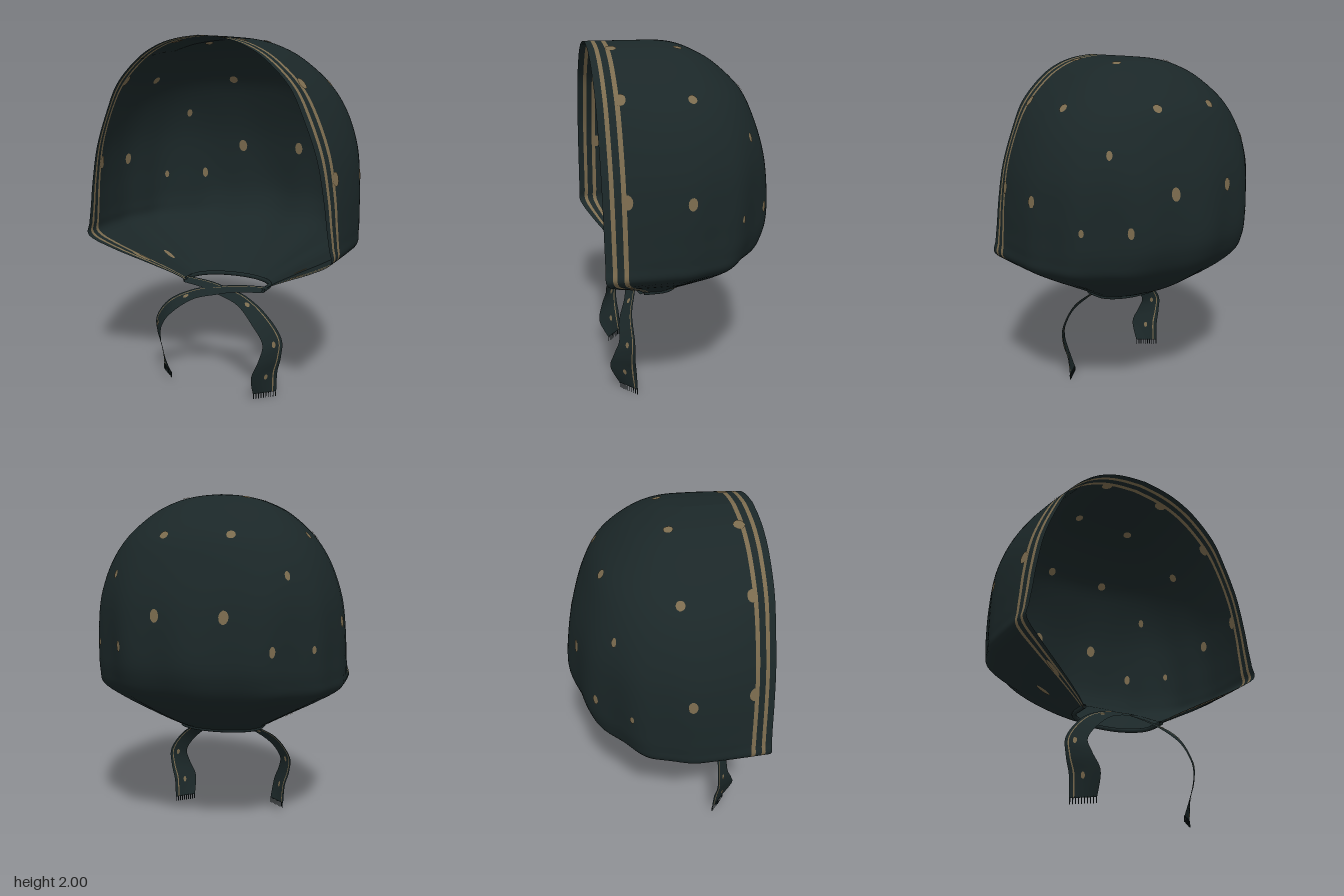
import * as THREE from 'three';

const cloth = new THREE.MeshStandardMaterial({ color: 0x1b2728, side: THREE.DoubleSide });
cloth.name = 'dark teal cloth';
const trim = new THREE.MeshStandardMaterial({ color: 0x7b6b4e, side: THREE.DoubleSide });
trim.name = 'tan trim';

// Hood levels from crown to neck: y, rim half width, rim z, widest half width, back z
const levels = [
  [2.0, 0, 0.51, 0, 0.14], [1.985, 0.13, 0.51, 0.15, 0.02], [1.95, 0.25, 0.51, 0.28, -0.08],
  [1.88, 0.37, 0.51, 0.41, -0.2], [1.75, 0.5, 0.51, 0.555, -0.335], [1.6, 0.575, 0.51, 0.655, -0.41],
  [1.4, 0.65, 0.51, 0.725, -0.475], [1.2, 0.69, 0.51, 0.75, -0.505], [1.05, 0.71, 0.51, 0.755, -0.51],
  [0.95, 0.725, 0.51, 0.755, -0.485], [0.87, 0.732, 0.507, 0.742, -0.44], [0.79, 0.61, 0.445, 0.62, -0.36],
  [0.7, 0.435, 0.35, 0.45, -0.23], [0.63, 0.305, 0.275, 0.32, -0.1], [0.59, 0.25, 0.24, 0.25, 0]];
const last = levels.length - 1;
const zWide = 0.15;
const { smoothstep, clamp } = THREE.MathUtils;
// exponent of the back curve: 1 is an ellipse, less is fuller towards the crown
const roundness = (v) => 0.86 + 0.13 * smoothstep(v, 5, 8);

// Smooth interpolation through rows of numbers
function sample(rows, v) {
  const i = Math.min(Math.floor(v), rows.length - 2), t = v - i;
  const at = (n) => rows[clamp(n, 0, rows.length - 1)];
  return rows[0].map((_, k) => {
    const [a, b, c, d] = [at(i - 1)[k], at(i)[k], at(i + 1)[k], at(i + 2)[k]];
    return b + 0.5 * t * (c - a + t * (2 * a - 5 * b + 4 * c - d + t * (3 * (b - c) + d - a)));
  });
}

// Hood surface: u runs from the left rim (0) round the back (2) to the right rim (4)
function hoodPoint(u, v) {
  const [y, rimX, rimZ, wide, back] = sample(levels, v);
  const q = u > 2 ? 4 - u : u, side = u > 2 ? -1 : 1;
  if (q <= 1) {
    const x = rimX + (wide - rimX) * Math.sin(q * Math.PI / 2);
    return new THREE.Vector3(side * x, y, rimZ + (zWide - rimZ) * q);
  }
  // gathers that fade out towards the crown and the neck
  const a = (q - 1) * Math.PI / 2;
  const depth = 0.016 * smoothstep(v, 4.5, 8) * (1 - smoothstep(v, 12.5, 14)) * Math.min(1, a * 2);
  const s = 1 + depth * Math.cos(12 * a);
  const across = Math.max(0, Math.cos(a)) ** roundness(v), along = Math.sin(a) ** roundness(v);
  return new THREE.Vector3(side * wide * across * s, y, zWide + (back - zWide) * along * s);
}

// Grid surface whose columns may be trim coloured
function gridMesh(name, point, us, vs, isTrim) {
  const pos = [], plain = [], striped = [], n = us.length;
  for (const v of vs) for (const u of us) pos.push(...point(u, v).toArray());
  for (let j = 0; j < vs.length - 1; j++) {
    for (let i = 0; i < n - 1; i++) {
      const a = j * n + i, b = a + 1, c = a + n, d = c + 1;
      (isTrim((us[i] + us[i + 1]) / 2) ? striped : plain).push(a, c, b, b, c, d);
    }
  }
  const geo = new THREE.BufferGeometry();
  geo.setAttribute('position', new THREE.Float32BufferAttribute(pos, 3));
  geo.setIndex([...plain, ...striped]);
  geo.addGroup(0, plain.length, 0);
  geo.addGroup(plain.length, striped.length, 1);
  geo.computeVertexNormals();
  const mesh = new THREE.Mesh(geo, [cloth, trim]);
  mesh.name = name;
  return mesh;
}

const steps = (a, b, n) => Array.from({ length: n + 1 }, (_, i) => a + (b - a) * i / n);

// Thin oval on both faces of a surface
function addDot(group, name, point, u, v, rx, ry) {
  const e = 0.02, p = point(u, v);
  const dv = point(u, v + e).sub(point(u, v - e)).normalize();
  const n = dv.clone().cross(point(u + e, v).sub(point(u - e, v))).normalize();
  const across = dv.clone().cross(n);
  for (const off of [0.004, -0.004]) {
    const geo = new THREE.CircleGeometry(1, 14).scale(rx, ry, 1);
    geo.applyMatrix4(new THREE.Matrix4().makeBasis(across, dv, n).setPosition(p.clone().addScaledVector(n, off)));
    const dot = new THREE.Mesh(geo, trim);
    dot.name = name;
    group.add(dot);
  }
}

function makeHood() {
  const hood = new THREE.Group();
  hood.name = 'hood';
  // columns fall on the edges of the two rim stripes
  const stripes = [[0.1, 0.16], [0.255, 0.32]];
  const half = [0, ...stripes.flat(), 0.5, 0.75, ...steps(1, 2, 40)];
  const us = [...half, ...half.slice(0, -1).reverse().map((q) => 4 - q)];
  const onStripe = (u) => stripes.some(([a, b]) => Math.min(u, 4 - u) > a && Math.min(u, 4 - u) < b);
  hood.add(gridMesh('hoodShell', hoodPoint, us, steps(0, last, last * 5), onStripe));

  // spots: level, z, half width, half height
  const spots = [
    [1.55, 0.03, 0.026, 0.024], [4, 0.03, 0.024, 0.026], [4, -0.317, 0.026, 0.026],
    [5.35, -0.292, 0.016, 0.026], [6.4, -0.474, 0.027, 0.038], [6.65, 0.07, 0.025, 0.034],
    [7.4, -0.393, 0.018, 0.032], [7.4, -0.222, 0.014, 0.022], [1.42, 0.39, 0.03, 0.034],
    [3.95, 0.39, 0.028, 0.034], [6.55, 0.39, 0.028, 0.038], [12.1, 0.11, 0.016, 0.045],
    [11.7, 0.33, 0.014, 0.06]];
  for (const [v, z, rx, ry] of spots) {
    const [, , rimZ, , back] = sample(levels, v);
    const u = z > zWide ? (rimZ - z) / (rimZ - zWide)
      : 1 + Math.asin(clamp((zWide - z) / (zWide - back), 0, 1) ** (1 / roundness(v))) * 2 / Math.PI;
    for (const side of [u, 4 - u]) addDot(hood, 'spot', hoodPoint, side, v, rx, ry);
  }

  // gathered neck edge
  const neck = new THREE.CatmullRomCurve3(steps(0, 4, 24).map((u) => hoodPoint(u, last)));
  const band = new THREE.Mesh(new THREE.TubeGeometry(neck, 60, 0.013, 8), cloth);
  band.name = 'neckBand';
  hood.add(band);
  return hood;
}

// Ribbon rows: centre x, y, z, then half-width vector x, y, z
const ribbonRows = [
  [-0.25, 0.595, 0.235, 0, 0.012, -0.025], [-0.1, 0.59, 0.26, 0, 0.014, -0.03],
  [0, 0.575, 0.28, 0.002, 0.017, -0.032], [0.15, 0.54, 0.31, 0.01, 0.022, -0.03],
  [0.28, 0.46, 0.355, 0.025, 0.028, -0.035], [0.36, 0.35, 0.36, 0.04, 0.012, -0.04],
  [0.355, 0.25, 0.375, 0.045, 0, -0.055], [0.325, 0.15, 0.38, 0.05, 0, -0.07],
  [0.315, 0.03, 0.35, 0.052, 0, -0.046]];

function makeRibbon(name, side, lift) {
  const ribbon = new THREE.Group();
  ribbon.name = name;
  const end = ribbonRows.length - 1;
  const point = (t, v) => {
    const [x, y, z, wx, wy, wz] = sample(ribbonRows, clamp(v, 0, end));
    // the second ribbon passes just in front of the first
    const front = side < 0 ? 0.012 * (1 - smoothstep(v, 3, 5)) * smoothstep(v, 0, 2) : 0;
    return new THREE.Vector3(side * (x + wx * t), y + wy * t + lift * smoothstep(v, 3, 8), z + wz * t + front);
  };
  const us = [-1, -0.5, 0, 0.5, 0.64, 0.74, 1];
  ribbon.add(gridMesh(name + 'Strip', point, us, steps(0, end, 64), (t) => t > 0.64 && t < 0.74));
  for (const v of [3.3, 5.2, 7.1]) addDot(ribbon, 'ribbonSpot', point, 0.1, v, 0.011, 0.018);

  // frayed end
  for (const t of steps(-0.96, 0.96, 9)) {
    const p = point(t, end);
    const thread = new THREE.Mesh(new THREE.BoxGeometry(0.004, 0.034, 0.004), cloth);
    thread.position.set(p.x, p.y - 0.013, p.z);
    thread.name = 'fringeThread';
    ribbon.add(thread);
  }
  return ribbon;
}

export function createModel() {
  const model = new THREE.Group();
  model.name = 'bonnet';
  model.add(makeHood(), makeRibbon('leftRibbon', 1, 0), makeRibbon('rightRibbon', -1, 0.03));
  return model;
}
